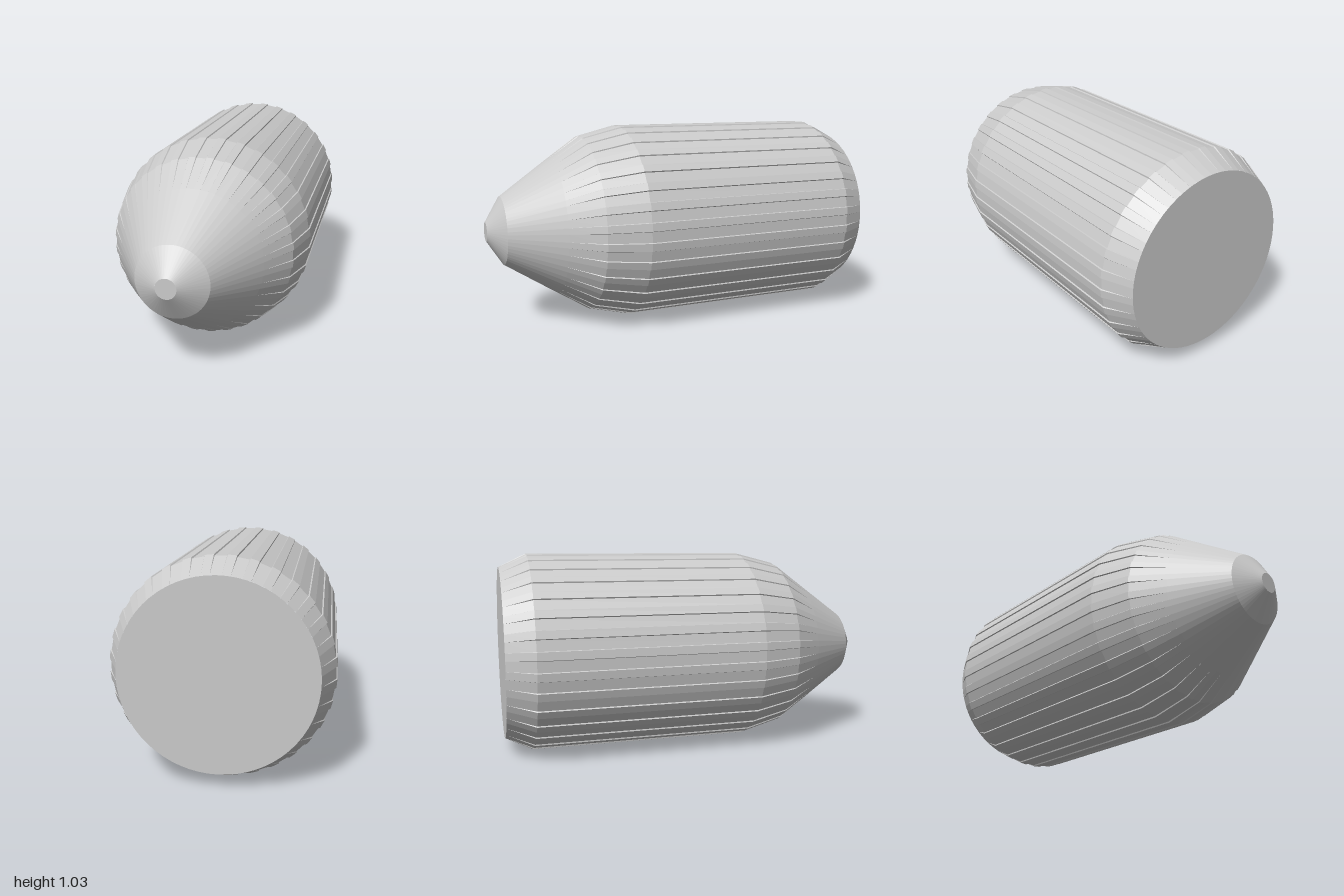
import * as THREE from 'three';

const TEETH = 32;
const CENTER_Y = 0.515;

// Cross-sections from back to front: z, radius, centre offset x and y, groove depth
const RINGS = [
  [-1, 0.447, 0, 0, 0],
  [-0.86, 0.515, 0, 0, 0.006],
  [0.29, 0.515, 0, 0, 0.006],
  [0.5, 0.462, 0, 0, 0.005],
  [0.66, 0.354, -0.009, -0.006, 0],
  [0.92, 0.178, -0.023, -0.015, 0],
  [1, 0.05, -0.027, -0.015, 0],
];

// One ring: each tooth is a narrow raised land followed by a wide shallow groove
function ringPoints([z, radius, ox, oy, depth]) {
  const pitch = (Math.PI * 2) / TEETH;
  const points = [];
  for (let i = 0; i < TEETH; i++) {
    for (const [f, drop] of [[0.3, 0], [0.7, 0], [0.73, 1], [1.27, 1]]) {
      const a = (i + f) * pitch;
      const r = radius - drop * depth;
      points.push([ox + r * Math.cos(a), CENTER_Y + oy + r * Math.sin(a), z]);
    }
  }
  return points;
}

function loft(rings) {
  const n = TEETH * 4;
  const positions = rings.flatMap((ring) => ringPoints(ring).flat());
  const index = [];
  for (let k = 0; k < rings.length - 1; k++) {
    for (let j = 0; j < n; j++) {
      const a = k * n + j, b = k * n + ((j + 1) % n);
      index.push(a, b, b + n, a, b + n, a + n);
    }
  }
  const geometry = new THREE.BufferGeometry();
  geometry.setAttribute('position', new THREE.Float32BufferAttribute(positions, 3));
  geometry.setIndex(index);
  geometry.computeVertexNormals();
  return geometry;
}

// Flat disc closing one end
function endCap([z, radius, ox, oy], facing) {
  const geometry = new THREE.CircleGeometry(radius, TEETH * 2);
  if (facing < 0) geometry.rotateY(Math.PI);
  return geometry.translate(ox, CENTER_Y + oy, z);
}

export function createModel() {
  const group = new THREE.Group();
  group.name = 'groovedCapsule';
  const material = new THREE.MeshStandardMaterial({ color: 0xcccccc, flatShading: true });
  const add = (name, geometry) => {
    const mesh = new THREE.Mesh(geometry, material);
    mesh.name = name;
    group.add(mesh);
  };

  add('rearCap', endCap(RINGS[0], -1));
  add('rearChamfer', loft(RINGS.slice(0, 2)));
  add('body', loft(RINGS.slice(1, 3)));
  add('shoulder', loft(RINGS.slice(2, 4)));
  add('nose', loft(RINGS.slice(3, 6)));
  add('noseTip', loft(RINGS.slice(5)));
  add('tipCap', endCap(RINGS[RINGS.length - 1], 1));
  return group;
}
